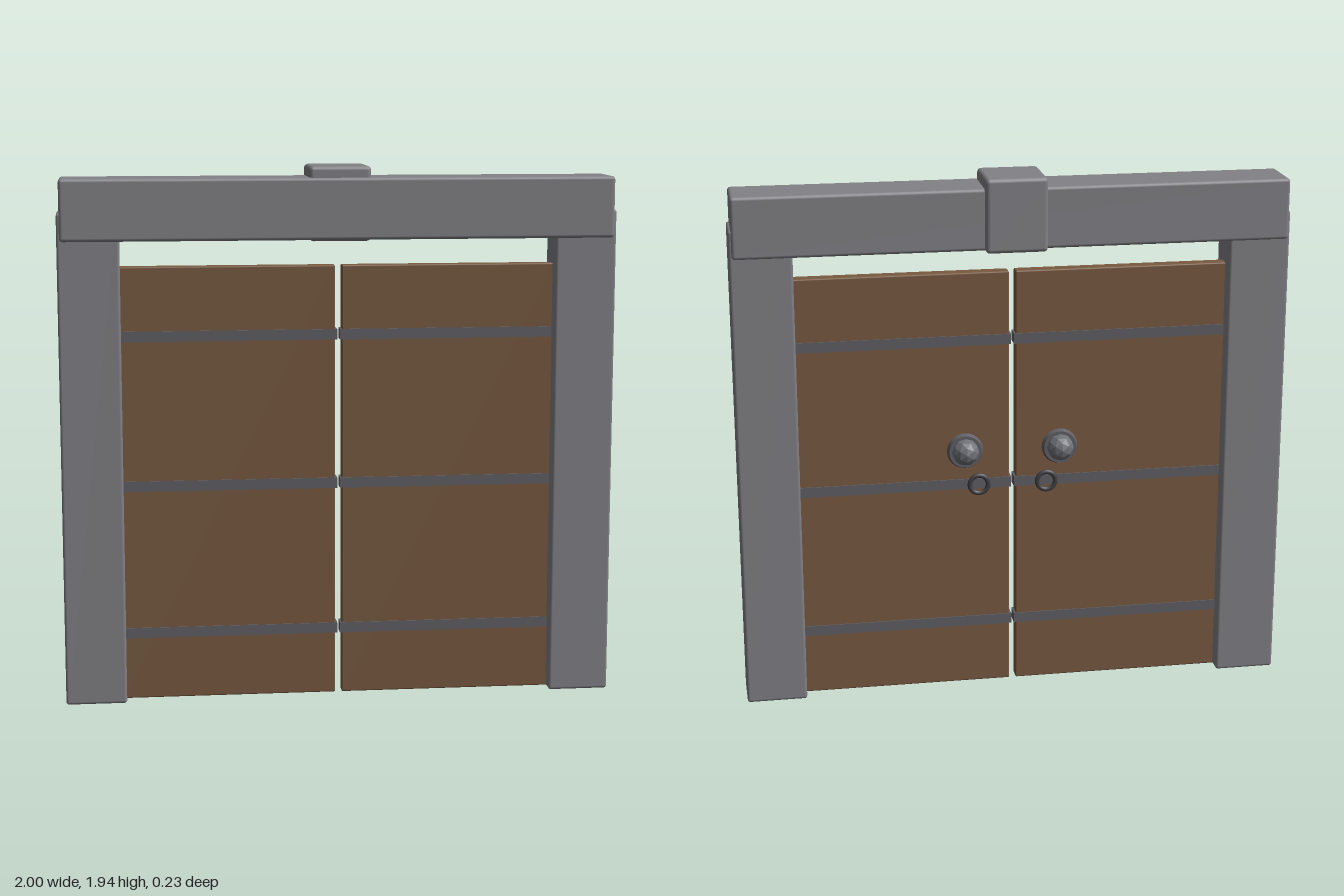
import * as THREE from 'three';
import { RoundedBoxGeometry } from 'three/addons/geometries/RoundedBoxGeometry.js';

const mat = (color, flatShading = false) => new THREE.MeshStandardMaterial({ color, flatShading });
const stone = mat(0x828186);
const wood = mat(0x785a40);
const iron = mat(0x606066);
const studMetal = mat(0x707278, true);
const darkIron = mat(0x404046);

export function createModel() {
  const model = new THREE.Group();
  model.name = 'doubleDoor';

  const add = (parent, name, geometry, material, x, y, z) => {
    const mesh = new THREE.Mesh(geometry, material);
    mesh.name = name;
    mesh.position.set(x, y, z);
    parent.add(mesh);
    return mesh;
  };

  // Box given by its extents, with softly bevelled edges
  const block = (parent, name, material, [x0, x1], [y0, y1], [z0, z1], radius) =>
    add(parent, name, new RoundedBoxGeometry(x1 - x0, y1 - y0, z1 - z0, 2, radius), material,
      (x0 + x1) / 2, (y0 + y1) / 2, (z0 + z1) / 2);

  // Frame: crossbeam and the block clasping its middle
  block(model, 'lintel', stone, [-0.99, 0.99], [1.68, 1.9], [-0.085, 0.115], 0.012);
  block(model, 'keystone', stone, [-0.11, 0.11], [1.675, 1.94], [-0.118, 0.107], 0.015);

  for (const side of [-1, 1]) {
    const label = side > 0 ? 'left' : 'right';
    const span = (a, b) => (side > 0 ? [a, b] : [-b, -a]);

    block(model, label + 'Post', stone, span(0.78, 1), [0, 1.78], [-0.065, 0.1], 0.01);

    // Door leaf with three iron bands wrapping both faces
    const leaf = new THREE.Group();
    leaf.name = label + 'Door';
    model.add(leaf);
    block(leaf, label + 'Panel', wood, span(0.012, 0.785), [0.002, 1.585], [-0.008, 0.042], 0.005);
    for (const y of [0.248, 0.792, 1.336]) {
      add(leaf, label + 'Band', new THREE.BoxGeometry(0.78, 0.038, 0.058), iron,
        side * 0.395, y, 0.017);
    }

    // Faceted knob on a round plate, on the back face
    const plate = add(leaf, label + 'KnobPlate',
      new THREE.CylinderGeometry(0.06, 0.068, 0.02, 24), iron, side * 0.175, 0.92, -0.015);
    plate.rotation.x = -Math.PI / 2;
    add(leaf, label + 'Knob', new THREE.IcosahedronGeometry(0.05, 1), studMetal,
      side * 0.175, 0.92, -0.026);

    // Pull ring below the knob
    add(leaf, label + 'PullRing', new THREE.TorusGeometry(0.034, 0.009, 8, 24), darkIron,
      side * 0.125, 0.79, -0.016);
  }
  return model;
}
